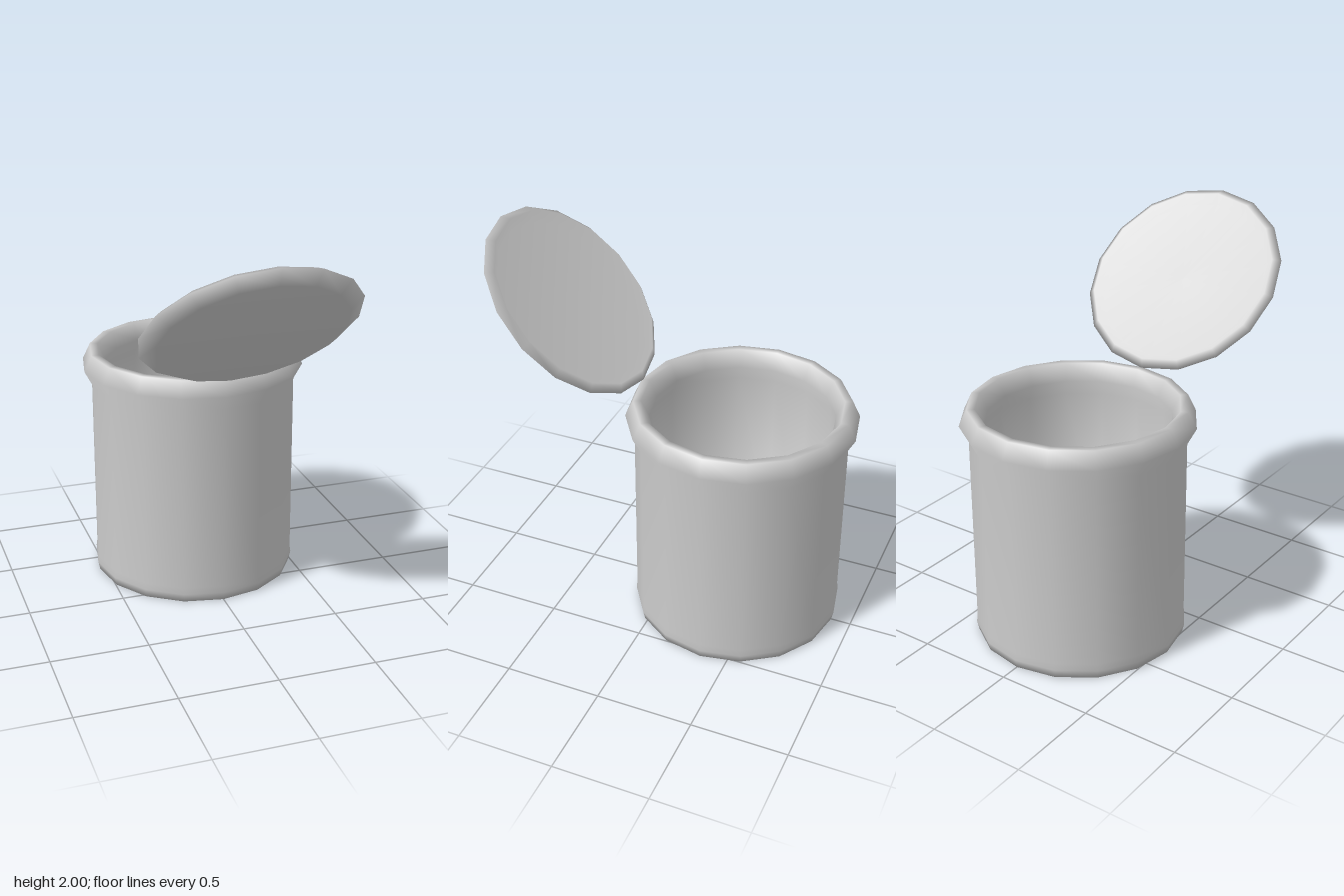
import * as THREE from 'three';

const SIDES = 16;

// Smooth turned part from [radius, height] pairs, outside first, then inside
function turned(name, profile, material) {
  const points = profile.map(([r, y]) => new THREE.Vector2(r, y));
  const mesh = new THREE.Mesh(new THREE.LatheGeometry(points, SIDES), material);
  mesh.name = name;
  return mesh;
}

export function createModel() {
  const metal = new THREE.MeshStandardMaterial({ color: 0xcccccc });
  metal.name = 'grey metal';

  const model = new THREE.Group();
  model.name = 'openCan';

  // Can: base, bead, wall, rolled rim, then inner wall and floor
  const can = turned('can', [
    [0, 0], [0.535, 0], [0.545, 0.045], [0.54, 0.08],
    [0.54, 1.07], [0.585, 1.155], [0.545, 1.24],
    [0.505, 1.24], [0.465, 1.155], [0.5, 1.07],
    [0.5, 0.05], [0, 0.05],
  ], metal);
  can.position.z = -0.36;

  // Lid: flat outer face, bevelled edge, raised bead around a recessed inner face
  const lid = turned('lid', [
    [0, -0.048], [0.465, -0.048], [0.54, 0],
    [0.5, 0.03], [0.455, -0.01], [0, -0.01],
  ], metal);
  lid.rotation.x = -Math.PI / 4;
  lid.position.set(0, 1.62, 0.56);

  model.add(can, lid);
  return model;
}
